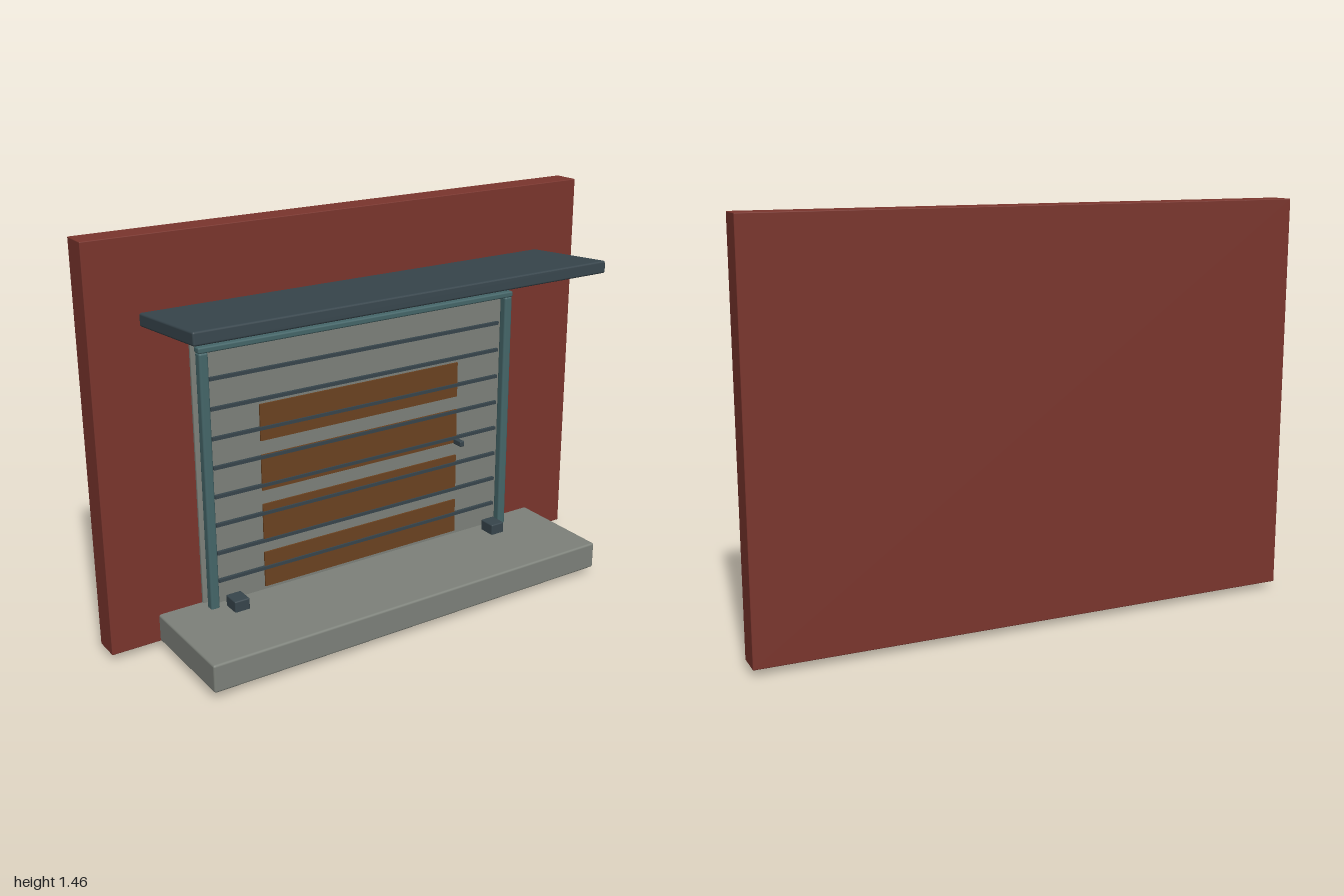
import * as THREE from 'three';
import { RoundedBoxGeometry } from 'three/addons/geometries/RoundedBoxGeometry.js';

const mat = (name, color) => {
  const m = new THREE.MeshStandardMaterial({ color });
  m.name = name;
  return m;
};

export function createModel() {
  const brick = mat('brick red', 0x7a352d);
  const concrete = mat('concrete grey', 0x7d817a);
  const slate = mat('dark slate', 0x37454c);
  const teal = mat('teal steel', 0x456669);
  const wood = mat('rusty brown', 0x6b4220);
  const group = new THREE.Group();

  // Box given by its extents, with optional rounded edges
  const box = (name, material, [x0, x1], [y0, y1], [z0, z1], radius = 0) => {
    const size = [x1 - x0, y1 - y0, z1 - z0];
    const geometry = radius ? new RoundedBoxGeometry(...size, 2, radius) : new THREE.BoxGeometry(...size);
    const mesh = new THREE.Mesh(geometry, material);
    mesh.name = name;
    mesh.position.set((x0 + x1) / 2, (y0 + y1) / 2, (z0 + z1) / 2);
    group.add(mesh);
    return mesh;
  };

  // Wall and loading platform
  box('wall', brick, [-1, 1], [0.028, 1.46], [-0.255, -0.156], 0.003);
  box('platform', concrete, [-0.82, 0.82], [0.028, 0.13], [-0.17, 0.256], 0.008);

  // Sloping canopy, its back edge set into the wall
  const canopy = box('canopy', slate, [-0.82, 0.82], [1.178, 1.223], [-0.18, 0.228], 0.007);
  canopy.rotation.x = -0.077;

  // Door backing and shutter
  box('doorBacking', concrete, [-0.655, 0.655], [0.003, 1.08], [-0.18, -0.146], 0.004);
  box('shutter', concrete, [-0.625, 0.625], [0.03, 1.06], [-0.142, -0.12], 0.003);

  // Brown panels on the shutter
  for (let i = 0; i < 4; i++) {
    const y = 0.143 + i * 0.186;
    box('shutterPanel', wood, [-0.422, 0.422], [y, y + 0.134], [-0.121, -0.114]);
  }

  // Horizontal ribs
  for (let i = 0; i < 8; i++) {
    const y = 0.218 + i * 0.106;
    box('shutterRib', slate, [-0.608, 0.608], [y - 0.006, y + 0.006], [-0.122, -0.108]);
  }

  // Door frame: two posts and a top rail; bumpers beside the posts
  for (const s of [-1, 1]) {
    const x = s * 0.636;
    box('framePost', teal, [x - 0.017, x + 0.017], [0.12, 1.062], [-0.12, -0.086], 0.008);
    const b = s * 0.565;
    box('bumper', slate, [b - 0.029, b + 0.029], [0.125, 0.171], [-0.09, -0.021], 0.005);
  }
  box('frameTopRail', teal, [-0.655, 0.655], [1.06, 1.082], [-0.12, -0.086], 0.006);

  // Small pull handle
  box('handle', slate, [0.41, 0.43], [0.51, 0.532], [-0.118, -0.072], 0.004);

  return group;
}
